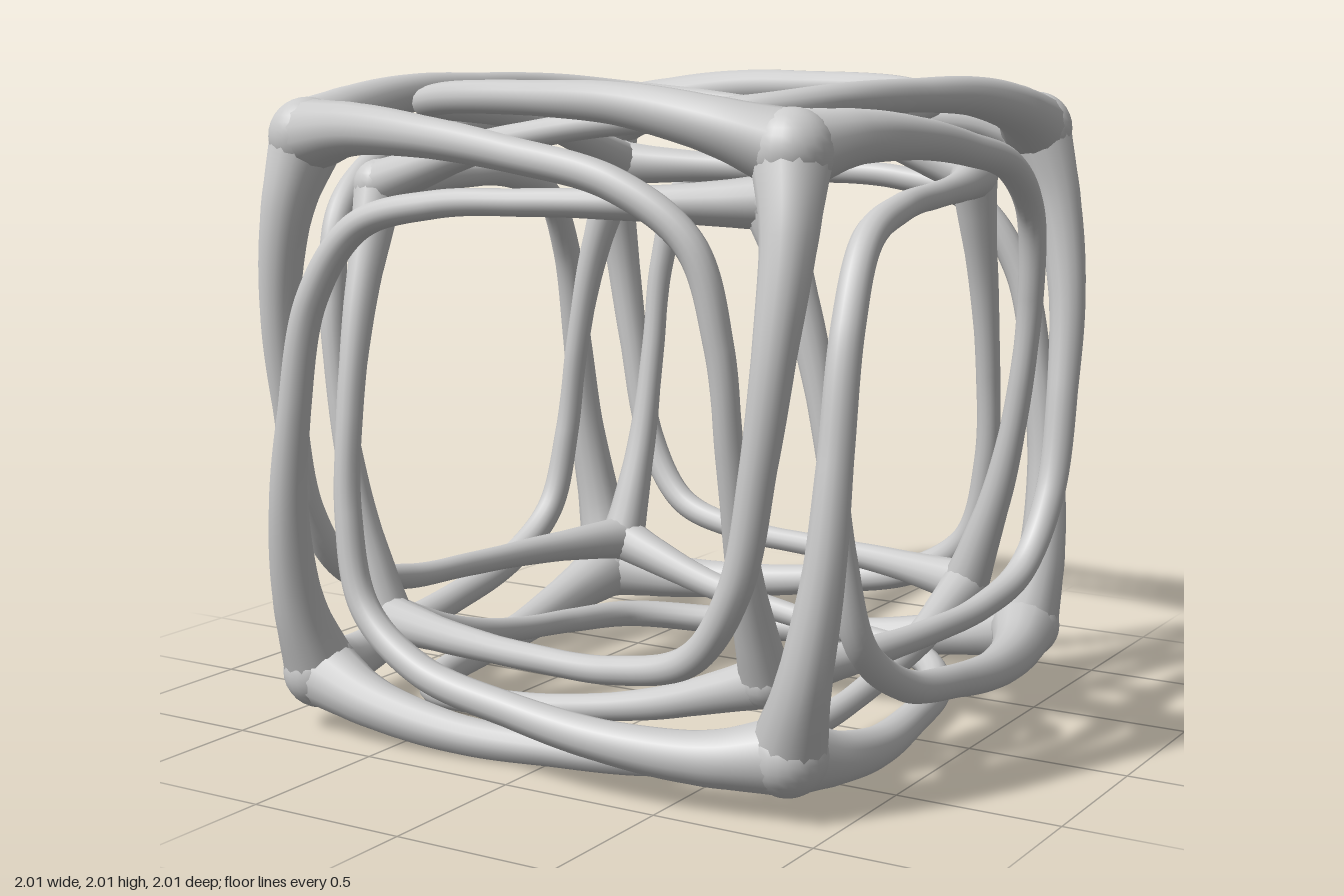
import * as THREE from 'three';

const V = (x, y, z) => new THREE.Vector3(x, y, z);

// Tube whose radius follows the [u, r] stops along its length
function taperedTube(points, stops, segments, sides) {
  const curve = new THREE.CatmullRomCurve3(points, false, 'centripetal');
  const geo = new THREE.TubeGeometry(curve, segments, 1, sides, false);
  const pos = geo.attributes.position;
  const v = new THREE.Vector3();
  for (let i = 0; i <= segments; i++) {
    const u = i / segments;
    const p = curve.getPointAt(u);
    let k = 0;
    while (k < stops.length - 2 && u > stops[k + 1][0]) k++;
    const [u0, r0] = stops[k], [u1, r1] = stops[k + 1];
    const r = r0 + (r1 - r0) * (u - u0) / (u1 - u0);
    for (let j = 0; j <= sides; j++) {
      const n = i * (sides + 1) + j;
      v.fromBufferAttribute(pos, n).sub(p).multiplyScalar(r).add(p);
      pos.setXYZ(n, v.x, v.y, v.z);
    }
  }
  return geo;
}

export function createModel() {
  const model = new THREE.Group();
  model.name = 'twistedCubeLattice';
  const frame = new THREE.Group();
  frame.name = 'frame';
  frame.position.y = 1;
  model.add(frame);
  const material = new THREE.MeshStandardMaterial({ color: 0xcccccc, side: THREE.DoubleSide });

  // One strand: outer corner, along an edge of the face, round inside the next corner,
  // along the next edge, then sinking to the inner node of the third corner
  const path = [
    V(-0.825, 0.825, 0.825), V(-0.6, 0.853, 0.89), V(-0.3, 0.84, 0.94), V(0, 0.8, 0.95),
    V(0.35, 0.725, 0.945), V(0.57, 0.57, 0.92), V(0.645, 0.3, 0.895), V(0.66, 0, 0.86),
    V(0.665, -0.3, 0.8), V(0.67, -0.55, 0.72), V(0.675, -0.675, 0.675),
  ];
  const stops = [
    [0, 0.115], [0.03, 0.1], [0.06, 0.086], [0.1, 0.075], [0.2, 0.06], [0.31, 0.051], [0.45, 0.048],
    [0.55, 0.045], [0.7, 0.039], [0.8, 0.042], [0.9, 0.053], [0.96, 0.066], [1, 0.078],
  ];
  const strandGeo = taperedTube(path, stops, 130, 14);

  // Three axis cycles times four half turns, each with a strand and its
  // partner turned half way about a mid-edge axis: 24 strands in all
  const edgeAxis = V(1, 0, 1).normalize();
  const axes = [V(1, 0, 0), V(0, 1, 0), V(0, 0, 1)];
  for (let c = 0; c < 3; c++) {
    for (const [sx, sy, sz] of [[1, 1, 1], [1, -1, -1], [-1, 1, -1], [-1, -1, 1]]) {
      const m = new THREE.Matrix4().makeBasis(axes[c], axes[(c + 1) % 3], axes[(c + 2) % 3]);
      m.premultiply(new THREE.Matrix4().makeScale(sx, sy, sz));
      const pair = new THREE.Group();
      pair.name = 'strandPair';
      pair.quaternion.setFromRotationMatrix(m);
      for (const angle of [0, Math.PI]) {
        const strand = new THREE.Mesh(strandGeo, material);
        strand.name = 'strand';
        strand.quaternion.setFromAxisAngle(edgeAxis, angle);
        pair.add(strand);
      }
      frame.add(pair);
    }
  }

  // Outer corner knots and inner corner nodes
  const knotGeo = new THREE.SphereGeometry(0.117, 24, 16);
  const nodeGeo = new THREE.SphereGeometry(0.08, 18, 12);
  for (const x of [-1, 1]) for (const y of [-1, 1]) for (const z of [-1, 1]) {
    const knot = new THREE.Mesh(knotGeo, material);
    knot.name = 'cornerKnot';
    knot.position.set(x, y, z).multiplyScalar(0.825);
    const node = new THREE.Mesh(nodeGeo, material);
    node.name = 'innerNode';
    node.position.set(x, y, z).multiplyScalar(0.675);
    frame.add(knot, node);
  }
  return model;
}
